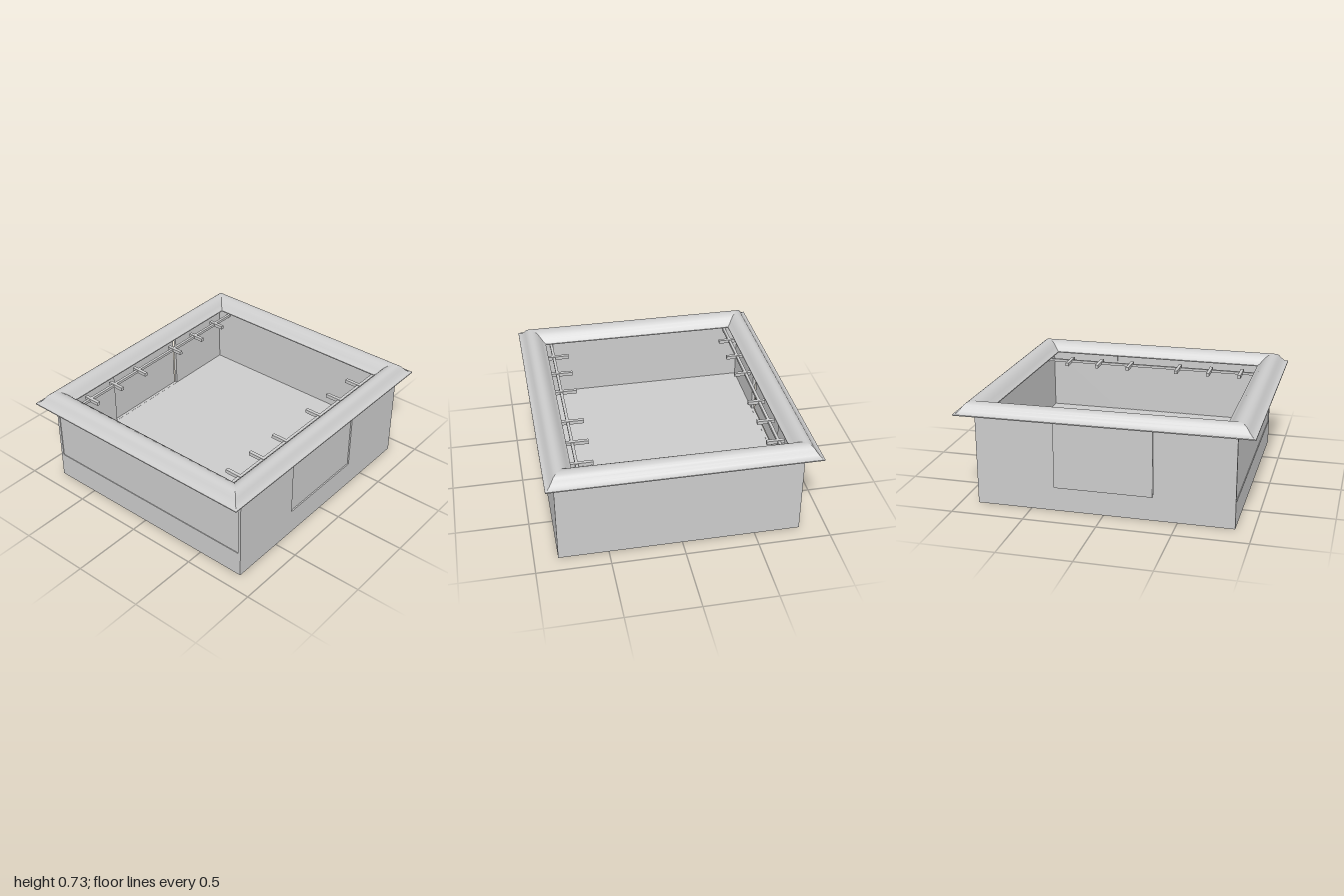
import * as THREE from 'three';
import { toCreasedNormals } from 'three/addons/utils/BufferGeometryUtils.js';

const material = new THREE.MeshStandardMaterial({ color: 0xcccccc });

// Box given by its min and max corners
function block(name, [x0, y0, z0], [x1, y1, z1]) {
  const g = new THREE.BoxGeometry(x1 - x0, y1 - y0, z1 - z0);
  g.translate((x0 + x1) / 2, (y0 + y1) / 2, (z0 + z1) / 2);
  const mesh = new THREE.Mesh(g, material);
  mesh.name = name;
  return mesh;
}

// Wall with a rectangular notch, closed by a separate panel
function notchedWall(name, z0, z1) {
  const s = new THREE.Shape();
  [[-0.88, 0.18], [-0.335, 0.18], [0.335, 0.18], [0.88, 0.18], [0.88, 0.65],
    [0.335, 0.65], [0.335, 0.181], [-0.335, 0.181], [-0.335, 0.65], [-0.88, 0.65]]
    .forEach(([x, y], i) => (i ? s.lineTo(x, y) : s.moveTo(x, y)));
  const g = new THREE.ExtrudeGeometry(s, { depth: z1 - z0, bevelEnabled: false });
  g.translate(0, 0, z0);
  const mesh = new THREE.Mesh(g, material);
  mesh.name = name;
  return mesh;
}

// Mitred moulding: one profile swept along four slightly uneven sides
function makeRim() {
  const outer = [[-1, 0.9], [1, 0.9], [1, -0.905], [-1, -0.885]];
  const inner = [[-0.79, 0.71], [0.79, 0.71], [0.80, -0.72], [-0.785, -0.705]];
  // [inset from outer edge 0..1, height]
  const profile = [
    [0, 0.645], [0, 0.652], [0.1, 0.657], [0.17, 0.67], [0.25, 0.69], [0.31, 0.707],
    [0.39, 0.719], [0.48, 0.725], [0.56, 0.725], [0.66, 0.718], [0.76, 0.703],
    [0.85, 0.683], [0.93, 0.662], [1, 0.652], [1, 0.645],
  ];
  const n = profile.length;
  const rim = new THREE.Group();
  rim.name = 'rim';
  for (let side = 0; side < 4; side++) {
    const pos = [], index = [];
    for (const [t, y] of profile) {
      for (const c of [side, (side + 1) % 4]) {
        pos.push(
          THREE.MathUtils.lerp(outer[c][0], inner[c][0], t), y,
          THREE.MathUtils.lerp(outer[c][1], inner[c][1], t));
      }
    }
    for (let i = 0; i < n; i++) {
      const a = 2 * i, b = 2 * ((i + 1) % n);
      index.push(a, a + 1, b + 1, a, b + 1, b);
    }
    const g = new THREE.BufferGeometry();
    g.setAttribute('position', new THREE.Float32BufferAttribute(pos, 3));
    g.setIndex(index);
    const mesh = new THREE.Mesh(toCreasedNormals(g, 0.7), material);
    mesh.name = 'rimSide';
    rim.add(mesh);
  }
  return rim;
}

export function createModel() {
  const model = new THREE.Group();
  model.name = 'openTub';

  // Base and walls
  model.add(
    block('base', [-0.88, 0, -0.815], [0.88, 0.18, 0.84]),
    notchedWall('frontWall', 0.82, 0.84),
    notchedWall('backWall', -0.815, -0.795),
    block('leftWall', [0.86, 0.18, -0.795], [0.88, 0.65, 0.82]),
    block('rightWall', [-0.875, 0.18, -0.795], [-0.855, 0.65, 0.82]),
  );

  // Panels filling the wall notches
  model.add(
    block('frontPanel', [-0.335, 0.18, 0.822], [0.335, 0.65, 0.83]),
    block('backPanel', [-0.335, 0.17, -0.832], [0.335, 0.65, -0.822]),
  );

  // Cross rods whose ends poke through the side walls
  for (const z of [-0.69, 0.665]) {
    model.add(block('rod', [-0.905, 0.587, z - 0.01], [0.91, 0.606, z + 0.01]));
  }

  // Short hooks lying across the rods
  for (const x of [0.19, 0.435, 0.673]) {
    for (const s of [-1, 1]) {
      model.add(
        block('frontHook', [s * x - 0.012, 0.585, 0.555], [s * x + 0.012, 0.61, 0.73]),
        block('backHook', [s * x - 0.012, 0.585, -0.73], [s * x + 0.012, 0.61, -0.607]),
      );
    }
  }

  model.add(makeRim());
  return model;
}
